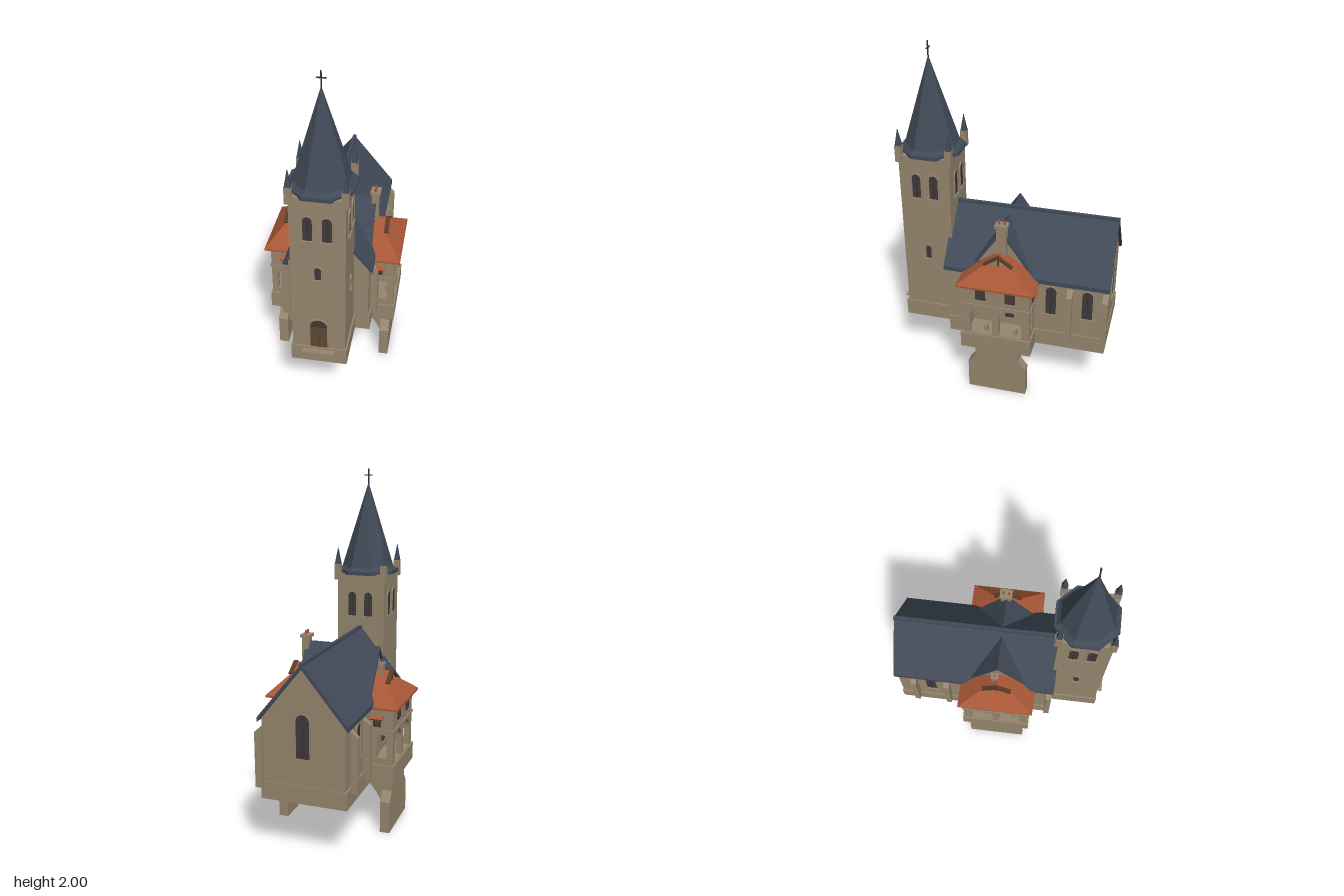
import * as THREE from 'three';

const mat = (name, color) => Object.assign(new THREE.MeshStandardMaterial({ color }), { name });
const CZ = -0.0125; // z of the cross axis
const TZ = 0.4425;  // z of the tower axis

export function createModel() {
  const stone = mat('stone', 0x95866e);
  const slate = mat('slate', 0x414a58);
  const tile = mat('red tile', 0xa85736);
  const glass = mat('dark glass', 0x40393a);
  const wood = mat('door wood', 0x5f4832);
  const iron = mat('iron', 0x2b3038);
  const timber = mat('timber', 0x5a3a28);
  const root = new THREE.Group();
  root.name = 'church';

  const add = (parent, name, geo, m, x = 0, y = 0, z = 0, ry = 0) => {
    const mesh = new THREE.Mesh(geo, m);
    mesh.name = name;
    mesh.position.set(x, y, z);
    mesh.rotation.y = ry;
    parent.add(mesh);
    return mesh;
  };
  // Box given by its limits
  const box = (parent, name, m, x0, x1, y0, y1, z0, z1) =>
    add(parent, name, new THREE.BoxGeometry(x1 - x0, y1 - y0, z1 - z0), m, (x0 + x1) / 2, (y0 + y1) / 2, (z0 + z1) / 2);
  const poly = (pts) => new THREE.Shape(pts.map(([x, y]) => new THREE.Vector2(x, y)));
  const extrude = (shape, depth) => new THREE.ExtrudeGeometry(shape, { depth, bevelEnabled: false, curveSegments: 8 });
  // Faceted prism or cone with its flat sides along the axes
  const prism = (rTop, rBottom, h, sides) => {
    const k = 1 / Math.cos(Math.PI / sides);
    const g = new THREE.CylinderGeometry(rTop * k, rBottom * k, h, sides).rotateY(Math.PI / sides).toNonIndexed();
    g.computeVertexNormals();
    return g;
  };
  const facets = (polys) => {
    const v = [];
    for (const p of polys) for (let i = 1; i < p.length - 1; i++) v.push(...p[0], ...p[i], ...p[i + 1]);
    const g = new THREE.BufferGeometry();
    g.setAttribute('position', new THREE.Float32BufferAttribute(v, 3));
    g.computeVertexNormals();
    return g;
  };
  // Round-headed opening, bottom at y0, total height h
  const arch = (w, h, cx = 0, y0 = 0, Kind = THREE.Shape) => {
    const s = new Kind(), r = w / 2;
    s.moveTo(cx - r, y0);
    s.lineTo(cx + r, y0);
    s.lineTo(cx + r, y0 + h - r);
    s.absarc(cx, y0 + h - r, r, 0, Math.PI, false);
    s.lineTo(cx - r, y0);
    return s;
  };
  // Arched window or door: panel, surround, bars and sill
  const arched = (parent, name, w, h, x, y, z, ry, m = glass) => {
    const g = new THREE.Group();
    g.name = name;
    g.position.set(x, y, z);
    g.rotation.y = ry;
    add(g, 'panel', extrude(arch(w, h), 0.003), m);
    const ring = arch(w + 0.014, h + 0.007);
    ring.holes.push(arch(w, h, 0, 0.001, THREE.Path));
    add(g, 'surround', extrude(ring, 0.007), stone);
    box(g, 'bar', m === wood ? timber : iron, -0.002, 0.002, 0, h, 0, 0.005);
    box(g, 'sill', stone, -w / 2 - 0.01, w / 2 + 0.01, -0.008, 0, 0, 0.012);
    parent.add(g);
  };
  const squareWindow = (parent, name, w, h, x, y, z, ry) => {
    const g = new THREE.Group();
    g.name = name;
    g.position.set(x, y, z);
    g.rotation.y = ry;
    box(g, 'pane', glass, -w / 2, w / 2, 0, h, 0, 0.004);
    box(g, 'bar', timber, -0.002, 0.002, 0, h, 0, 0.006);
    box(g, 'crossbar', timber, -w / 2, w / 2, h * 0.62, h * 0.62 + 0.004, 0, 0.006);
    box(g, 'sill', stone, -w / 2 - 0.006, w / 2 + 0.006, -0.008, 0, 0, 0.01);
    parent.add(g);
  };
  const plinth = (name, x, z0, z1) => {
    const t = 0.02;
    for (const s of [-1, 1]) box(root, name, stone, s * x - (s > 0 ? t : 0), s * x + (s < 0 ? t : 0), 0.32, 0.42, z0, z1);
    box(root, name, stone, -x + t, x - t, 0.32, 0.42, z0, z0 + t);
    box(root, name, stone, -x + t, x - t, 0.32, 0.42, z1 - t, z1);
  };
  const chevron = (w, eave, ridge, t) =>
    poly([[-w, eave - t], [0, ridge - t], [w, eave - t], [w, eave], [0, ridge], [-w, eave]]);

  // Nave
  plinth('navePlinth', 0.24, -0.62, 0.3);
  add(root, 'naveWalls', extrude(poly([[-0.23, 0.37], [0.23, 0.37], [0.23, 0.77], [0, 1.055], [-0.23, 0.77]]), 0.915), stone, 0, 0, -0.615);
  add(root, 'naveRoof', extrude(chevron(0.25, 0.775, 1.08, 0.026), 0.95), slate, 0, 0, -0.63);
  box(root, 'ridgeCap', slate, -0.01, 0.01, 1.065, 1.083, -0.632, 0.31);
  for (const z of [-0.303, -0.51]) arched(root, 'naveWindow', 0.06, 0.185, 0.23, 0.54, z, Math.PI / 2);
  arched(root, 'naveWindow', 0.06, 0.185, -0.23, 0.54, -0.42, -Math.PI / 2);
  arched(root, 'backWindow', 0.075, 0.24, 0, 0.57, -0.615, Math.PI);

  // Buttresses with sloped heads
  const buttress = extrude(poly([[0, 0.38], [0.045, 0.38], [0.045, 0.69], [0, 0.73]]), 0.032);
  buttress.translate(0, 0, -0.016);
  for (const z of [-0.61, -0.41, 0.205]) add(root, 'buttress', buttress, stone, 0.225, 0, z);
  for (const z of [-0.52, -0.32, 0.295]) add(root, 'buttress', buttress, stone, -0.225, 0, z, Math.PI);

  // Tower
  plinth('towerPlinth', 0.155, 0.3, 0.6);
  box(root, 'towerWalls', stone, -0.145, 0.145, 0.37, 1.37, 0.3, 0.59);
  box(root, 'towerCornice', stone, -0.153, 0.153, 1.37, 1.395, TZ - 0.153, TZ + 0.153);
  for (let i = 0; i < 4; i++) {
    const side = new THREE.Group();
    side.name = 'towerSide';
    side.position.z = TZ;
    side.rotation.y = i * Math.PI / 2;
    for (const x of [-0.05, 0.05]) arched(side, 'belfryWindow', 0.05, 0.145, x, 1.14, 0.145, 0);
    root.add(side);
  }
  arched(root, 'frontSlit', 0.035, 0.08, 0, 0.895, 0.59, 0);
  for (const s of [-1, 1]) arched(root, 'sideSlit', 0.032, 0.085, s * 0.145, 0.745, TZ, s * Math.PI / 2);
  arched(root, 'door', 0.094, 0.195, 0, 0.42, 0.59, 0, wood);
  add(root, 'doorHead', extrude(arch(0.094, 0.05), 0.004), glass, 0, 0.565, 0.59);
  box(root, 'doorStep', stone, -0.09, 0.09, 0.4, 0.41, 0.59, 0.632);

  // Spire, pinnacles and cross
  add(root, 'spireEave', prism(0.172, 0.172, 0.02, 8), slate, 0, 1.4, TZ - 0.004);
  add(root, 'spireFlare', prism(0.142, 0.16, 0.02, 8), slate, 0, 1.42, TZ - 0.004);
  add(root, 'spire', prism(0.001, 0.142, 0.49, 8), slate, 0, 1.675, TZ - 0.004);
  for (const x of [-0.142, 0.142]) for (const z of [-0.142, 0.142]) {
    box(root, 'pinnacleShaft', stone, x - 0.018, x + 0.018, 1.355, 1.45, TZ + z - 0.018, TZ + z + 0.018);
    add(root, 'pinnacleCap', prism(0.001, 0.016, 0.095, 4), slate, x, 1.4975, TZ + z);
  }
  box(root, 'crossPost', iron, -0.003, 0.003, 1.9, 2, TZ - 0.007, TZ - 0.001);
  box(root, 'crossBar', iron, -0.024, 0.024, 1.96, 1.966, TZ - 0.007, TZ - 0.001);

  // Side wings: the same wing, turned half round for the other side
  for (const turn of [0, Math.PI]) {
    const w = new THREE.Group();
    w.name = turn ? 'rightWing' : 'leftWing';
    w.position.z = CZ;
    w.rotation.y = turn;
    root.add(w);
    box(w, 'wingPlinth', stone, 0.2, 0.37, 0.32, 0.42, -0.205, 0.205);
    add(w, 'transeptGable', extrude(poly([[-0.155, 0.45], [0.155, 0.45], [0.155, 0.79], [0, 1.018], [-0.155, 0.79]]), 0.21), stone, 0, 0, 0, Math.PI / 2);
    add(w, 'transeptRoof', extrude(chevron(0.17, 0.8, 1.045, 0.026), 0.222), slate, 0, 0, 0, Math.PI / 2);

    // Open arcade below, closed room above
    const outer = poly([[-0.195, 0.42], [0.195, 0.42], [0.195, 0.75], [-0.195, 0.75]]);
    for (const c of [-0.085, 0.085]) outer.holes.push(arch(0.13, 0.175, c, 0.425, THREE.Path));
    add(w, 'arcadeWall', extrude(outer, 0.03), stone, 0.33, 0, 0, Math.PI / 2);
    const end = poly([[0.2, 0.42], [0.33, 0.42], [0.33, 0.75], [0.2, 0.75]]);
    end.holes.push(arch(0.055, 0.135, 0.297, 0.46, THREE.Path));
    box(w, 'arcadeCeiling', stone, 0.2, 0.34, 0.605, 0.62, -0.18, 0.18);
    box(w, 'stringCourse', stone, 0.355, 0.367, 0.615, 0.627, -0.2, 0.2);
    for (const z of [-0.085, 0.085]) {
      squareWindow(w, 'upperWindow', 0.058, 0.07, 0.36, 0.66, z, Math.PI / 2);
      box(w, 'bench', stone, 0.3, 0.33, 0.42, 0.46, z - 0.03, z - 0.01);
    }
    squareWindow(w, 'innerWindow', 0.05, 0.075, 0.23, 0.47, -0.05, Math.PI / 2);
    for (const s of [-1, 1]) {
      add(w, 'endWall', extrude(end, 0.03), stone, 0, 0, s > 0 ? 0.165 : -0.195);
      box(w, 'endString', stone, 0.2, 0.367, 0.615, 0.627, s * 0.198 - 0.004, s * 0.198 + 0.004);
      squareWindow(w, 'endWindow', 0.045, 0.055, 0.27, 0.64, s * 0.195, s > 0 ? 0 : Math.PI);
      const canopy = box(w, 'canopy', tile, 0.235, 0.305, 0.692, 0.702, s * 0.207 - 0.017, s * 0.207 + 0.017);
      canopy.rotation.x = s * 0.5;
    }

    // Half-hipped tile roof with a timbered gablet
    const slope = [[0.2, 0.91, 0], [0.2, 0.757, 0.22], [0.39, 0.757, 0.22], [0.29, 0.858, 0.075], [0.29, 0.91, 0]];
    const back = slope.map(([x, y, z]) => [x, y, -z]).reverse();
    back.unshift(back.pop());
    const hip = [slope[3], slope[2], back[3], back[2]];
    add(w, 'tileRoof', facets([slope, back, hip]), tile);
    add(w, 'gablet', facets([[slope[4], slope[3], back[2]]]), stone);
    box(w, 'tileEave', tile, 0.2, 0.39, 0.745, 0.757, -0.22, 0.22);
    for (const s of [-1, 1]) {
      const barge = add(w, 'bargeboard', new THREE.BoxGeometry(0.025, 0.01, 0.1), timber, 0.292, 0.884, s * 0.04);
      barge.rotation.x = s * 0.61;
    }
    box(w, 'gabletPost', timber, 0.29, 0.297, 0.858, 0.9, -0.005, 0.005);

    // Bridge pier and half of the arch under the nave
    const pier = poly([[-0.172, 0], [0.172, 0], [0.172, 0.185], [0.127, 0.24], [0.127, 0.32], [-0.127, 0.32], [-0.127, 0.24], [-0.172, 0.185]]);
    add(w, 'pier', extrude(pier, 0.055), stone, 0.285, 0, 0, Math.PI / 2);
    const spandrel = [[0.29, 0.34], [0.29, 0.135]];
    for (let i = 0; i <= 8; i++) {
      const a = 0.32 + i * (Math.PI / 2 - 0.32) / 8;
      spandrel.push([0.3 * Math.cos(a), 0.054 + 0.3 * Math.sin(a)]);
    }
    spandrel.push([0, 0.37], [0.23, 0.37], [0.23, 0.34]);
    add(w, 'archBarrel', extrude(poly(spandrel), 0.254), stone, 0, 0, -0.127);
  }

  // Chimneys
  box(root, 'largeChimney', stone, 0.198, 0.238, 0.8, 1.07, -0.045, 0.012);
  box(root, 'largeChimneyCap', stone, 0.19, 0.246, 1.065, 1.083, -0.052, 0.02);
  for (const z of [-0.032, 0]) add(root, 'chimneyPot', new THREE.CylinderGeometry(0.006, 0.007, 0.025, 8), tile, 0.218, 1.094, z);
  box(root, 'smallChimney', stone, -0.25, -0.228, 0.8, 0.95, -0.045, -0.01);
  box(root, 'smallChimneyCap', stone, -0.256, -0.222, 0.945, 0.957, -0.05, -0.005);
  add(root, 'smallChimneyPot', new THREE.CylinderGeometry(0.005, 0.006, 0.02, 8), tile, -0.239, 0.965, -0.028);

  return root;
}
